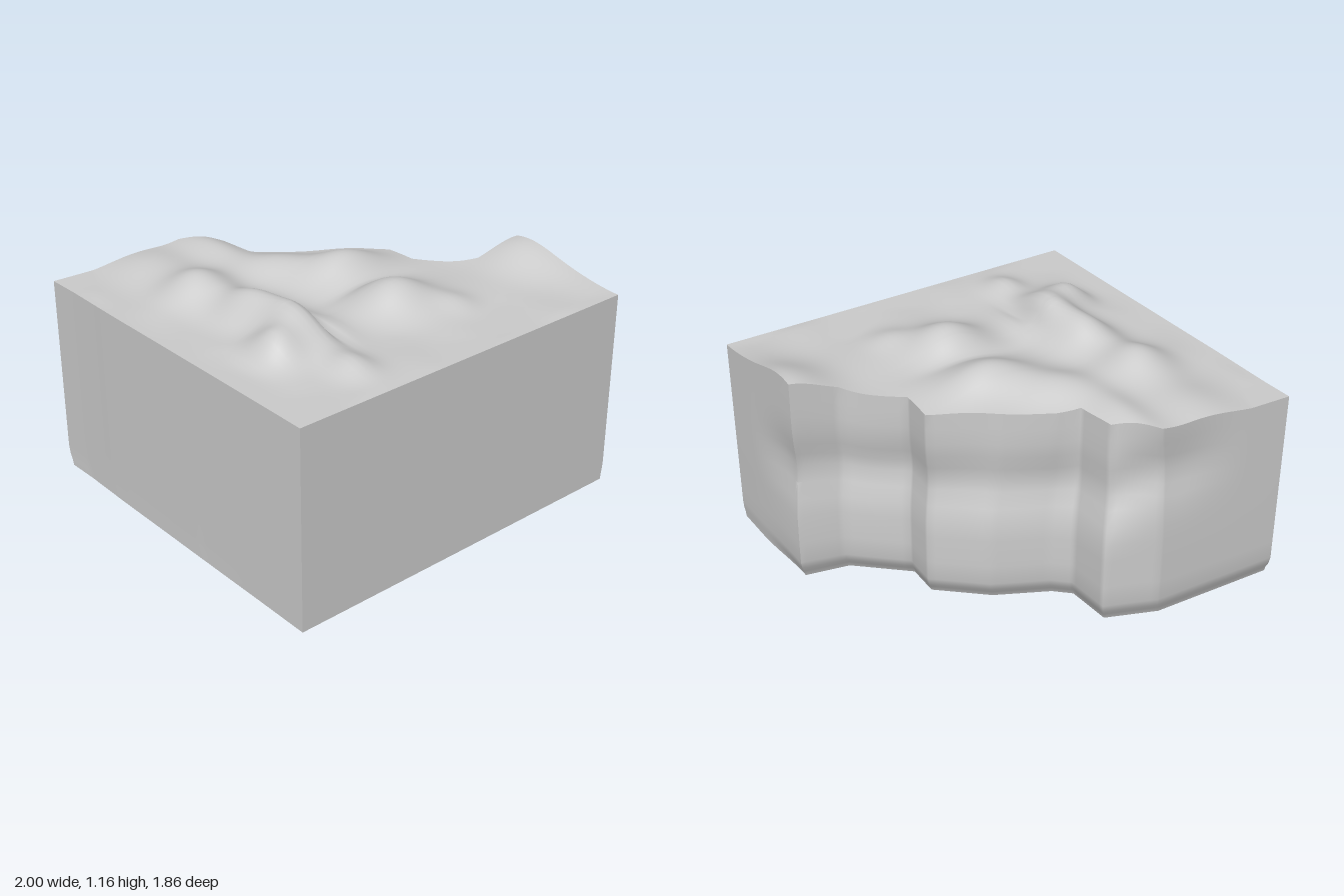
import * as THREE from 'three';
import { toCreasedNormals } from 'three/addons/utils/BufferGeometryUtils.js';

const COLS = 56, SUB = 8, RIM = 1.01;

// Cliff edge from back to front: top x, z; foot x, z; left-side x, z; waist height
const KNOTS = [
  [-0.30, -0.91, -0.33, -0.92, -1.00, -0.93, 0.77],
  [-0.13, -0.76, -0.08, -0.83, -0.99, -0.76, 0.65],
  [-0.10, -0.57, -0.06, -0.60, -0.985, -0.57, 0.62],
  [0.00, -0.53, 0.02, -0.53, -0.984, -0.53, 0.62],
  [0.22, -0.40, 0.28, -0.41, -0.98, -0.40, 0.62],
  [0.50, -0.22, 0.51, -0.22, -0.973, -0.23, 0.62],
  [0.50, -0.05, 0.51, -0.05, -0.966, -0.05, 0.60],
  [0.74, 0.17, 0.76, 0.16, -0.958, 0.17, 0.58],
  [0.97, 0.20, 0.98, 0.20, -0.956, 0.21, 0.56],
  [1.00, 0.855, 1.00, 0.855, -0.93, 0.925, 0.56],
];

// Hills on the ground: x, z, radius x, radius z, height
const HILLS = [
  [-0.45, 0.24, 0.14, 0.22, 0.15], [-0.64, 0.36, 0.11, 0.14, 0.10],
  [-0.50, -0.05, 0.15, 0.17, 0.10], [-0.55, -0.36, 0.18, 0.17, 0.10],
  [-0.50, -0.72, 0.20, 0.28, 0.05], [-0.22, -0.72, 0.12, 0.28, 0.06],
  [0.12, 0.28, 0.21, 0.18, 0.12], [0.14, -0.13, 0.22, 0.16, 0.12],
  [-0.10, -0.36, 0.20, 0.16, 0.07], [0.32, 0.47, 0.10, 0.11, 0.03],
  [-0.45, 0.66, 0.10, 0.13, 0.06], [0.99, 0.29, 0.24, 0.27, 0.10],
  [-0.34, 0.32, 0.04, 0.16, -0.05], [0.10, 0.08, 0.20, 0.05, -0.02],
];

// Wall levels as fractions of the height, top to bottom
const LEVELS = [1, 0.92, 0.84, 0.77, 0.7, 0.64, 0.58, 0.5, 0.42, 0.34, 0.2, 0.1, 0.06, 0.03, 0];

const lerp = THREE.MathUtils.lerp;
const smooth = THREE.MathUtils.smoothstep;

function groundHeight(x, z, u, v) {
  let h = 0;
  for (const [cx, cz, rx, rz, a] of HILLS) {
    h += a * Math.exp(-(((x - cx) / rx) ** 2) - ((z - cz) / rz) ** 2);
  }
  h += 0.006 * Math.sin(11 * x + 5 * z) * Math.sin(9 * z - 4 * x);
  // straight left and front sides stay level
  return RIM + Math.max(h, 0) * smooth(u, 0, 0.12) * smooth(1 - v, 0, 0.06);
}

function meshFrom(name, positions, indices, material, crease) {
  const geo = new THREE.BufferGeometry();
  geo.setAttribute('position', new THREE.Float32BufferAttribute(positions, 3));
  geo.setIndex(indices);
  const mesh = new THREE.Mesh(toCreasedNormals(geo, crease), material);
  mesh.name = name;
  return mesh;
}

export function createModel() {
  const group = new THREE.Group();
  group.name = 'cliffCornerBlock';
  const material = new THREE.MeshStandardMaterial({ color: 0xcccccc });

  // Rows from the left side across to the cliff edge
  const rows = [];
  const last = KNOTS.length - 1;
  for (let k = 0; k < last; k++) {
    const end = k === last - 1, n = end ? 28 : SUB;
    for (let s = 0; s < n + (end ? 1 : 0); s++) {
      const [tx, tz, bx, bz, lx, lz, waist] = KNOTS[k].map((a, i) => lerp(a, KNOTS[k + 1][i], s / n));
      const v = end ? s / n : 0, fade = 1 - smooth(v, 0, 0.7);
      const row = [];
      for (let j = 0; j <= COLS; j++) {
        const u = j / COLS, x = lerp(lx, tx, u), z = lerp(lz, tz, u);
        const cliff = smooth(u, 0.3, 1);
        row.push({
          top: new THREE.Vector3(x, groundHeight(x, z, u, v), z),
          foot: new THREE.Vector2(lerp(lx, bx, u), lerp(lz, bz, u)),
          waist,
          pinch: 0.033 * cliff * fade,
          undercutX: 0.035 * cliff * lerp(0.3, 1, fade),
          undercutZ: 0.035 * fade,
        });
      }
      rows.push(row);
    }
  }

  // Uneven ground
  const pos = [], idx = [], w = COLS + 1;
  rows.forEach((row) => row.forEach((p) => pos.push(p.top.x, p.top.y, p.top.z)));
  for (let i = 0; i < rows.length - 1; i++) {
    for (let j = 0; j < COLS; j++) {
      const a = i * w + j, b = a + w;
      idx.push(a, b, a + 1, b, b + 1, a + 1);
    }
  }
  group.add(meshFrom('hillyGround', pos, idx, material, 1.2));

  // Outline: back, cliff and right side, front, left side
  const outline = [
    ...rows[0].slice(0, -1),
    ...rows.slice(0, -1).map((r) => r[COLS]),
    ...rows[rows.length - 1].slice(1).reverse(),
    ...rows.slice(1).reverse().map((r) => r[0]),
  ];

  // Walls with a waist along the cliff and an undercut at the very foot
  const wallPos = [], wallIdx = [], footRing = [], m = outline.length;
  LEVELS.forEach((f, level) => {
    const cut = 1 - smooth(f, 0, 0.09);
    outline.forEach((p, i) => {
      const t = smooth(1 - f, 0, 0.6);
      const d = p.pinch * Math.exp(-(((f - p.waist) / 0.14) ** 2));
      const x = lerp(p.top.x, p.foot.x, t) - d - cut * p.undercutX;
      const z = lerp(p.top.z, p.foot.y, t) + d + cut * p.undercutZ;
      wallPos.push(x, p.top.y * f, z);
      if (f === 0) footRing.push(new THREE.Vector2(x, z));
      if (level === 0) return;
      const b = level * m + i, b2 = level * m + ((i + 1) % m);
      wallIdx.push(b - m, b2 - m, b2, b - m, b2, b);
    });
  });
  group.add(meshFrom('cliffWalls', wallPos, wallIdx, material, 1.3));

  // Flat underside
  const base = new THREE.Mesh(new THREE.ShapeGeometry(new THREE.Shape(footRing)), material);
  base.geometry.rotateX(Math.PI / 2);
  base.name = 'underside';
  group.add(base);

  return group;
}
